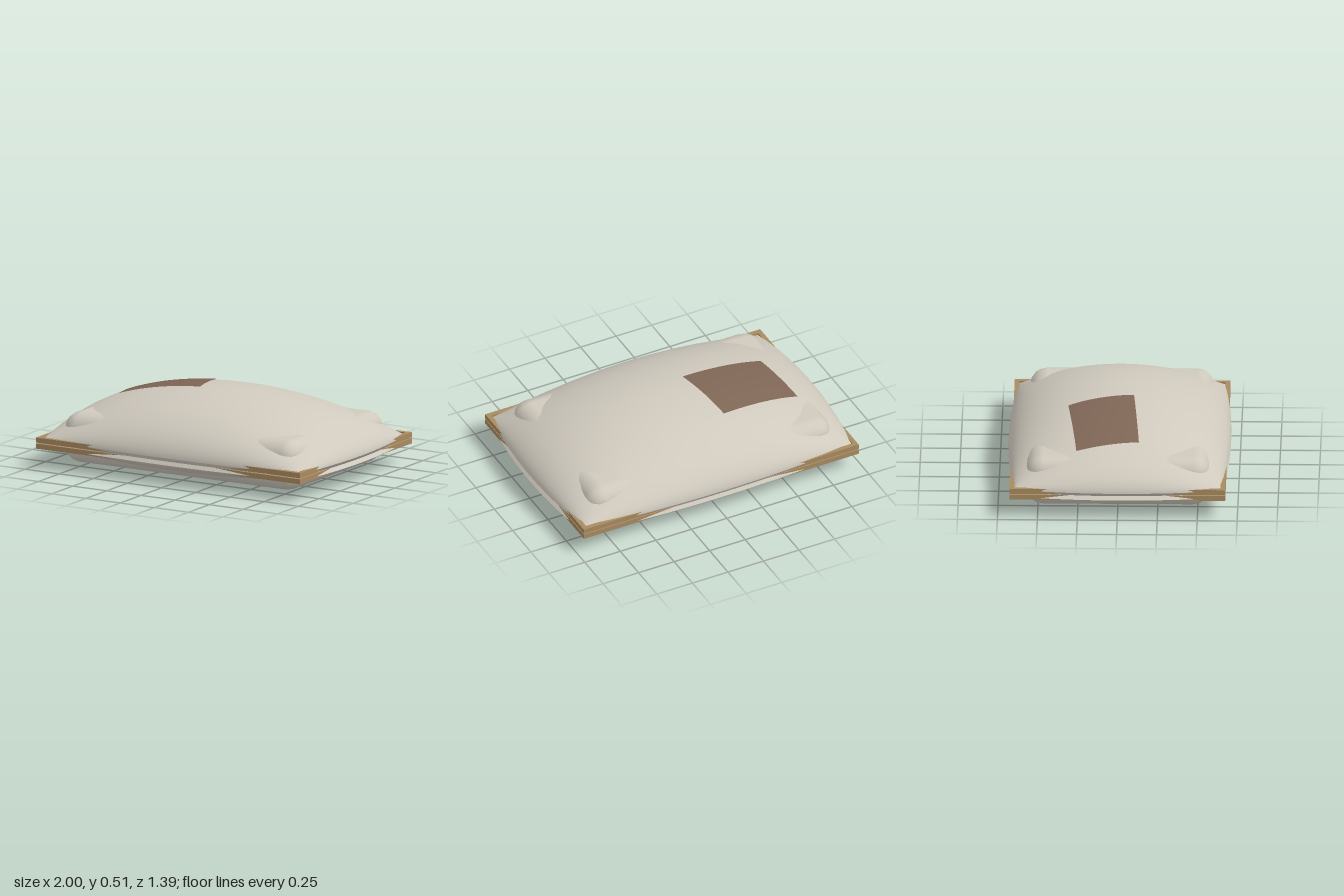
import * as THREE from 'three';
import { RoundedBoxGeometry } from 'three/addons/geometries/RoundedBoxGeometry.js';
import { ParametricGeometry } from 'three/addons/geometries/ParametricGeometry.js';

const RIM_TOP = 0.18, RIM_LOW = 0.135;

// Plan outline: a rectangle whose sides bow outward; u and v run from -1 to 1
const planX = (u, v) => u * (0.94 + 0.06 * (1 - v * v));
const planZ = (u, v) => v * (0.645 + 0.05 * (1 - u * u));
const swell = (u, v, p) => Math.pow(Math.max(0, (1 - u * u) * (1 - v * v)), p);
const topY = (u, v) => RIM_TOP + 0.33 * swell(u, v, 0.57);
const lowY = (u, v) => RIM_LOW - 0.132 * swell(u, v, 0.7);

// Spacing that packs rows toward the steep rim
const ease = (t) => Math.sin((t - 0.5) * Math.PI);

function surface(fn, slices, stacks) {
  const g = new ParametricGeometry(fn, slices, stacks);
  g.computeVertexNormals();
  return g;
}

// Point on the outline, counterclockwise from the front left of the view
function rimPoint(a, scale, y, target) {
  const side = Math.min(3, Math.floor(a * 4 + 1e-9));
  const s = (a * 4 - side) * 2 - 1;
  const [u, v] = [[s, 1], [1, -s], [-s, -1], [-1, s]][side];
  target.set(planX(u, v) * scale, y, planZ(u, v) * scale);
}

export function createModel() {
  const model = new THREE.Group();
  model.name = 'cushion';
  const fabric = new THREE.MeshStandardMaterial({ color: 0xcfc9bd });
  fabric.name = 'cream fabric';
  const piping = new THREE.MeshStandardMaterial({ color: 0xa88a60 });
  piping.name = 'tan piping';
  const brown = new THREE.MeshStandardMaterial({ color: 0x7f6656 });
  brown.name = 'brown patch';

  const add = (name, geometry, material, parent = model) => {
    const mesh = new THREE.Mesh(geometry, material);
    mesh.name = name;
    parent.add(mesh);
    return mesh;
  };

  // Swollen upper and lower covers
  add('upperCover', surface((a, b, t) => {
    const u = ease(b), v = ease(a);
    t.set(planX(u, v), topY(u, v), planZ(u, v));
  }, 56, 56), fabric);
  add('lowerCover', surface((a, b, t) => {
    const u = ease(a), v = ease(b);
    t.set(planX(u, v), lowY(u, v), planZ(u, v));
  }, 56, 56), fabric);

  // Pinched groove between the two rims
  const mid = (RIM_TOP + RIM_LOW) / 2;
  const lip = (r0, y0, r1, y1) => surface((a, b, t) =>
    rimPoint(a, r0 + (r1 - r0) * b, y0 + (y1 - y0) * b, t), 96, 1);
  add('lowerLip', lip(1, RIM_LOW, 0.98, mid), fabric);
  add('upperLip', lip(0.98, mid, 1, RIM_TOP), fabric);

  // Bevelled filling block that pushes out at the corners and underside
  const block = add('fillingBlock', new RoundedBoxGeometry(1.72, 0.325, 1.155, 2, 0.11), fabric);
  block.position.y = 0.188;

  // Two straight piping frames, showing only near the corners
  for (const y of [RIM_TOP, 0.141]) {
    const frame = new THREE.Group();
    frame.name = 'pipingFrame';
    frame.position.y = y;
    model.add(frame);
    for (const s of [-1, 1]) {
      add('longPiping', new THREE.BoxGeometry(1.934, 0.032, 0.03), piping, frame).position.z = s * 0.66;
      add('shortPiping', new THREE.BoxGeometry(0.03, 0.032, 1.32), piping, frame).position.x = s * 0.952;
    }
  }

  // Sewn patch following the upper cover
  const corners = [[-0.75, -0.26], [-0.2, -0.32], [-0.12, 0.09], [-0.69, 0.13]];
  add('patch', surface((a, b, t) => {
    const mix = (k) => (1 - a) * ((1 - b) * corners[0][k] + b * corners[1][k]) +
      a * ((1 - b) * corners[3][k] + b * corners[2][k]);
    const x = mix(0), z = mix(1);
    // Solve the plan mapping for u and v
    let u = x, v = z / 0.695;
    for (let i = 0; i < 8; i++) {
      u = x / planX(1, v);
      v = z / planZ(u, 1);
    }
    t.set(x, topY(u, v) + 0.005, z);
  }, 20, 20), brown);

  return model;
}
